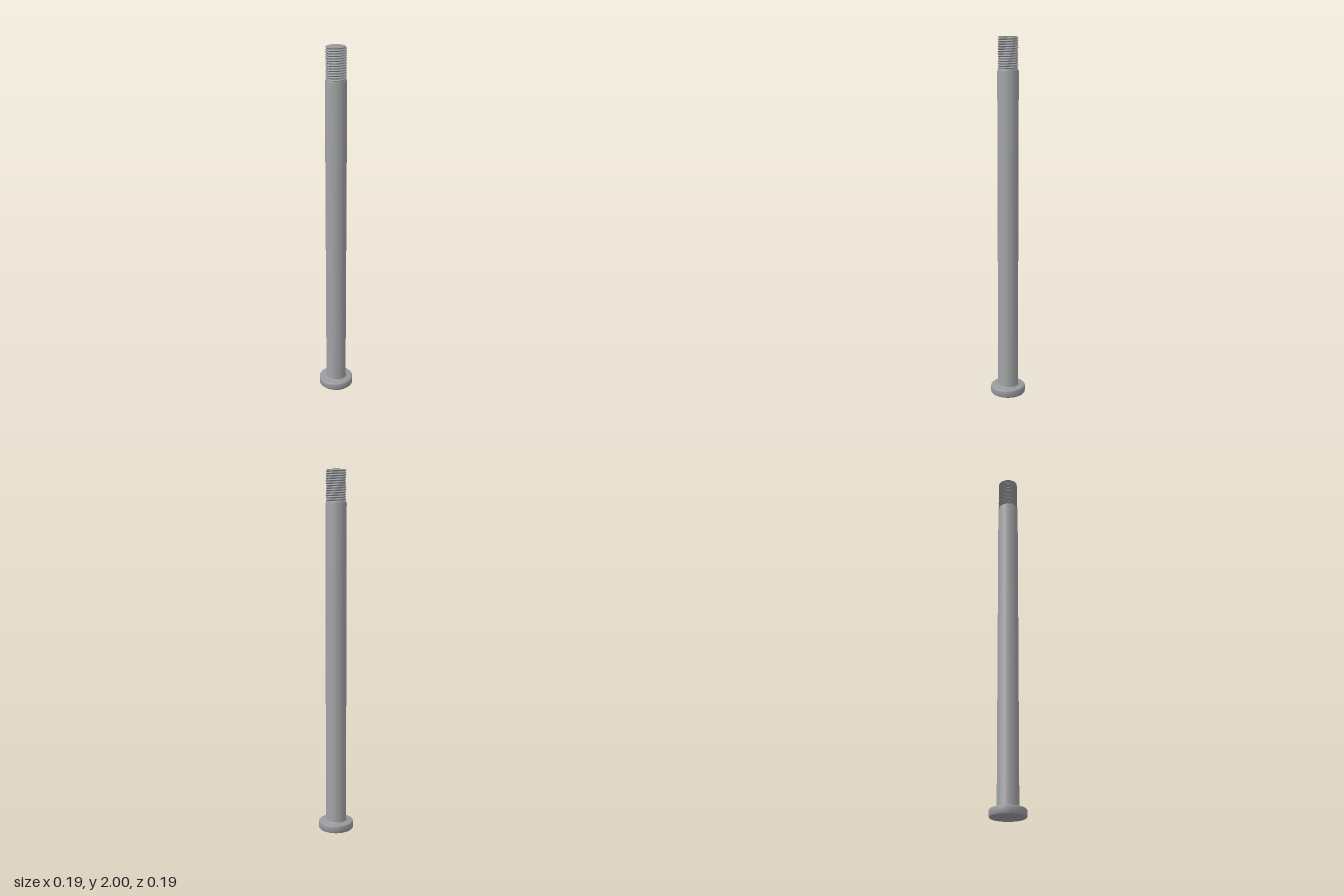
import * as THREE from 'three';
import { toCreasedNormals } from 'three/addons/utils/BufferGeometryUtils.js';

const steel = new THREE.MeshStandardMaterial({ color: 0x98999c });
steel.name = 'steel grey';

// Adds a quarter-round corner to a lathe profile
function arc(pts, cx, cy, r, from, to, steps = 5) {
  for (let i = 0; i <= steps; i++) {
    const a = from + (to - from) * i / steps;
    pts.push(new THREE.Vector2(cx + r * Math.cos(a), cy + r * Math.sin(a)));
  }
}

function turned(name, pts) {
  const geo = toCreasedNormals(new THREE.LatheGeometry(pts, 64), 0.6);
  const mesh = new THREE.Mesh(geo, steel);
  mesh.name = name;
  return mesh;
}

// Helical V thread: a ridged lathe whose rows climb one pitch per turn
function threadGeometry(y0, y1, pitch, root, crest, tip) {
  const rows = 2 * (Math.ceil((y1 - y0) / pitch) + 2);
  const segments = 64;
  const pts = [];
  for (let j = 0; j <= rows; j++) {
    pts.push(new THREE.Vector2(j % 2 ? crest : root, y0 + (j / 2 - 1) * pitch));
  }
  const geo = new THREE.LatheGeometry(pts, segments);
  const pos = geo.attributes.position;
  for (let k = 0; k < pos.count; k++) {
    const turn = Math.floor(k / pts.length) / segments;
    const y = THREE.MathUtils.clamp(pos.getY(k) + turn * pitch, y0, y1);
    const r = Math.hypot(pos.getX(k), pos.getZ(k));
    const s = Math.min(r, tip + (y1 - y)) / r; // chamfered end
    pos.setXYZ(k, pos.getX(k) * s, y, pos.getZ(k) * s);
  }
  return toCreasedNormals(geo, 0.6);
}

export function createModel() {
  const bolt = new THREE.Group();
  bolt.name = 'bolt';

  // Flat round head with softened rims
  const head = [new THREE.Vector2(0, 0)];
  arc(head, 0.089, 0.008, 0.008, -Math.PI / 2, 0);
  arc(head, 0.087, 0.036, 0.01, 0, Math.PI / 2);
  head.push(new THREE.Vector2(0.05, 0.046));
  bolt.add(turned('head', head));

  // Plain shank: fillet at the head, tapered shoulder at the thread
  const shank = [];
  arc(shank, 0.066, 0.055, 0.009, 1.5 * Math.PI, Math.PI);
  shank.push(new THREE.Vector2(0.057, 1.822));
  shank.push(new THREE.Vector2(0.051, 1.836));
  shank.push(new THREE.Vector2(0.04, 1.836));
  bolt.add(turned('shank', shank));

  // Threaded end
  const thread = new THREE.Mesh(threadGeometry(1.832, 2, 0.0125, 0.048, 0.055, 0.051), steel);
  thread.name = 'thread';
  bolt.add(thread);

  // Flat end face
  const tip = new THREE.Mesh(new THREE.CircleGeometry(0.051, 64), steel);
  tip.name = 'endFace';
  tip.rotation.x = -Math.PI / 2;
  tip.position.y = 2;
  bolt.add(tip);

  return bolt;
}
